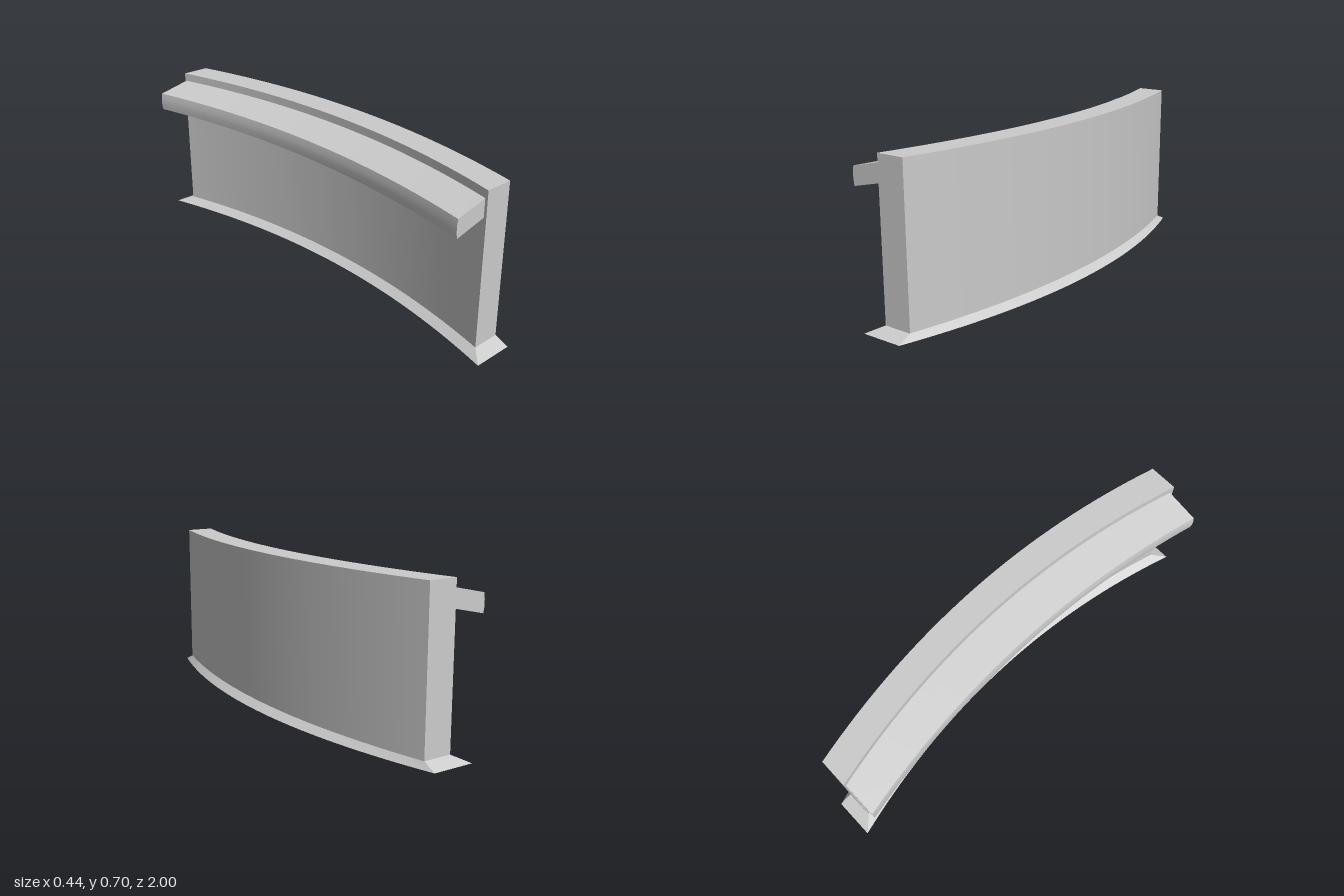
import * as THREE from 'three';
import { toCreasedNormals } from 'three/addons/utils/BufferGeometryUtils.js';

const SEGMENTS = 32;

// Sweeps a profile along a bowed path. Each point is [x at middle, x at ends, y, z at ends].
// Profiles run anticlockwise as seen from +z; the two ends are capped with quads.
function sweepBowed(profile, zShift = 0) {
  const rings = [];
  for (let j = 0; j <= SEGMENTS; j++) {
    const t = (j / SEGMENTS) * 2 - 1;
    rings.push(profile.map(([xm, xe, y, z]) => [xm + (xe - xm) * t * t, y, t * z + zShift]));
  }
  const positions = [];
  const quad = (a, b, c, d) => positions.push(...a, ...b, ...c, ...a, ...c, ...d);
  const n = profile.length;

  for (let j = 0; j < SEGMENTS; j++) {
    const r = rings[j], s = rings[j + 1];
    for (let i = 0; i < n - 1; i++) quad(r[i], r[i + 1], s[i + 1], s[i]);
  }
  const back = rings[0], front = rings[SEGMENTS];
  for (let i = 0; i < n / 2 - 1; i++) {
    const k = n - 1 - i;
    quad(front[i], front[i + 1], front[k - 1], front[k]);
    quad(back[k], back[k - 1], back[i + 1], back[i]);
  }
  const geometry = new THREE.BufferGeometry();
  geometry.setAttribute('position', new THREE.Float32BufferAttribute(positions, 3));
  return toCreasedNormals(geometry, 0.45);
}

export function createModel() {
  const group = new THREE.Group();
  group.name = 'curvedCounter';
  const material = new THREE.MeshStandardMaterial({ color: 0xcccccc, side: THREE.DoubleSide });
  const add = (name, geometry) => {
    const mesh = new THREE.Mesh(geometry, material);
    mesh.name = name;
    group.add(mesh);
  };

  // Hollow wall with a flared skirt, open underneath
  add('wallWithSkirt', sweepBowed([
    [0.217, 0.057, 0, 1],
    [0.18, 0.055, 0.027, 0.94],
    [0.18, 0.055, 0.7, 0.94],
    [0.055, -0.072, 0.7, 0.94],
    [0.055, -0.072, 0.027, 0.94],
    [0.018, -0.128, 0, 1],
  ]));

  // Sloping rail on the hollow side, with a slightly rounded nose
  add('rail', sweepBowed([
    [0.06, -0.067, 0.664, 0.93],
    [-0.11, -0.217, 0.63, 0.93],
    [-0.114, -0.221, 0.604, 0.93],
    [-0.114, -0.221, 0.578, 0.93],
    [-0.11, -0.217, 0.55, 0.93],
    [0.06, -0.067, 0.585, 0.93],
  ], -0.004));

  return group;
}
